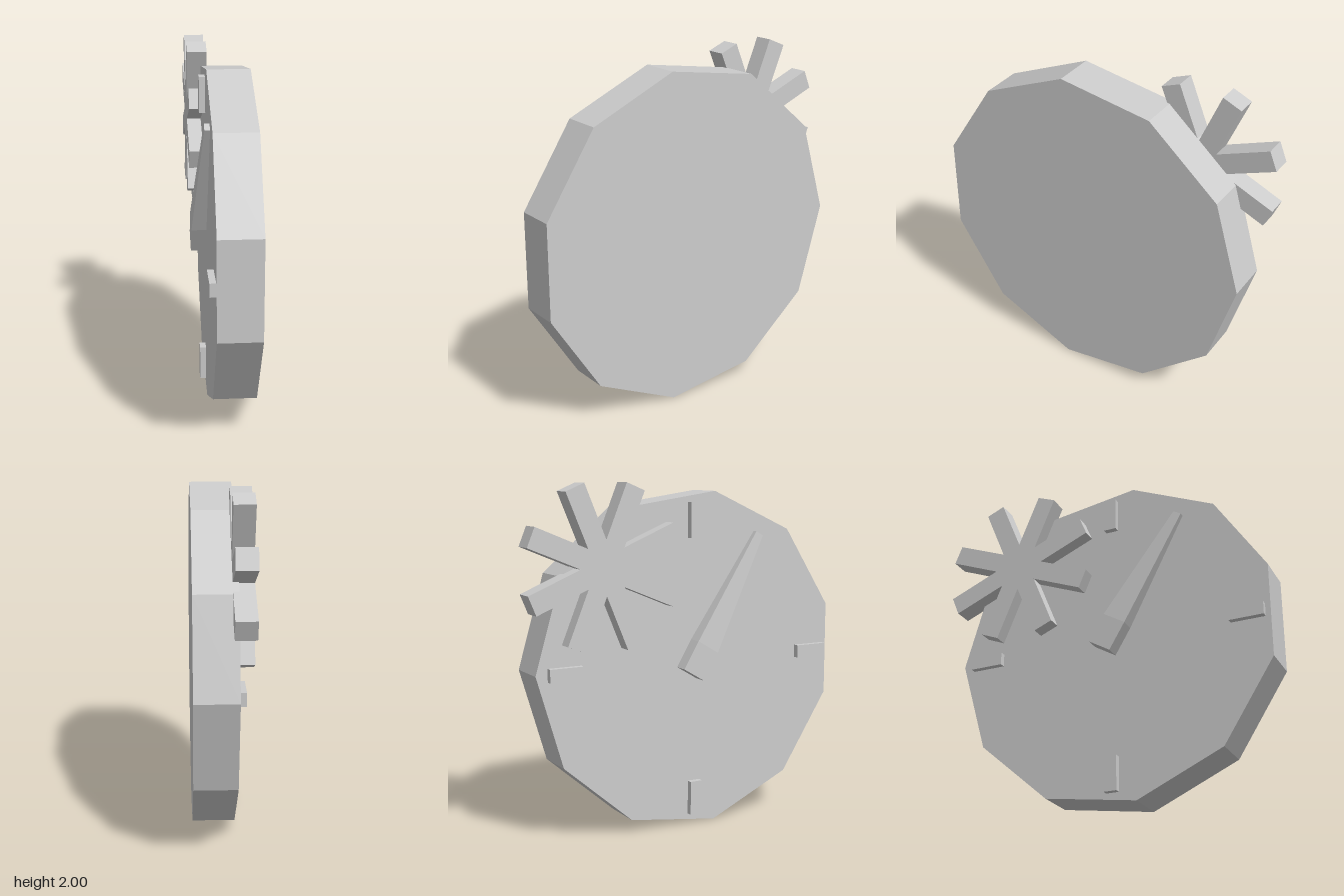
import * as THREE from 'three';

export function createModel() {
  const model = new THREE.Group();
  const grey = new THREE.MeshStandardMaterial({ color: 0xcccccc });
  grey.name = 'plain grey';
  const centreY = 0.975, centreZ = 0.05, faceX = -0.08;

  // Parts are drawn flat (X = z, Y = y) and rise towards -x from the given x
  function addPart(name, geometry, x, y, z) {
    geometry.rotateY(-Math.PI / 2);
    const mesh = new THREE.Mesh(geometry.toNonIndexed(), grey);
    mesh.geometry.computeVertexNormals();
    mesh.name = name;
    mesh.position.set(x, y, z);
    model.add(mesh);
  }

  // Eleven-sided dial
  const dial = new THREE.CylinderGeometry(0.98, 0.98, 0.24, 11, 1, false, Math.PI);
  dial.rotateZ(Math.PI / 2);
  dial.rotateY(Math.PI / 2); // cancelled by addPart
  addPart('dial', dial, 0.04, centreY, centreZ);

  // Hour markers
  const ticks = ['topMarker', 'frontMarker', 'bottomMarker', 'backMarker'];
  ticks.forEach((name, i) => {
    const upright = i % 2 === 0;
    const angle = i * Math.PI / 2;
    const tick = new THREE.BoxGeometry(upright ? 0.075 : 0.2, upright ? 0.2 : 0.075, 0.035);
    tick.translate(0, 0, 0.0175);
    addPart(name, tick, faceX, centreY + 0.81 * Math.cos(angle), centreZ + 0.81 * Math.sin(angle));
  });

  // Hand: full section near the pivot, then tapering in width and height to the tip
  const length = 0.918, root = 0.18;
  const hand = new THREE.BoxGeometry(0.15, 2, 0.085, 1, 2, 1);
  hand.translate(0, 1, 0.0425);
  const p = hand.attributes.position;
  for (let i = 0; i < p.count; i++) {
    const row = Math.round(p.getY(i));
    p.setY(i, [0, root, length][row]);
    if (row === 2) {
      p.setX(i, p.getX(i) * 0.35);
      p.setZ(i, p.getZ(i) * 0.35);
    }
  }
  hand.rotateZ(-31 * Math.PI / 180);
  addPart('hand', hand, faceX, 0.91, 0.005);

  // Eight-armed star overlapping the dial edge
  const arms = 8, reach = 0.469, half = 0.0585;
  const notch = half / Math.sin(Math.PI / arms);
  const points = [];
  for (let i = 0; i < arms; i++) {
    const a = (i + 0.5) * 2 * Math.PI / arms;
    const c = Math.cos(a), s = Math.sin(a);
    points.push(
      new THREE.Vector2(reach * c + half * s, reach * s - half * c),
      new THREE.Vector2(reach * c - half * s, reach * s + half * c),
      new THREE.Vector2(notch * Math.cos(a + Math.PI / arms), notch * Math.sin(a + Math.PI / arms))
    );
  }
  const star = new THREE.ExtrudeGeometry(new THREE.Shape(points), { depth: 0.115, bevelEnabled: false });
  addPart('star', star, -0.047, 1.545, -0.54);

  return model;
}
